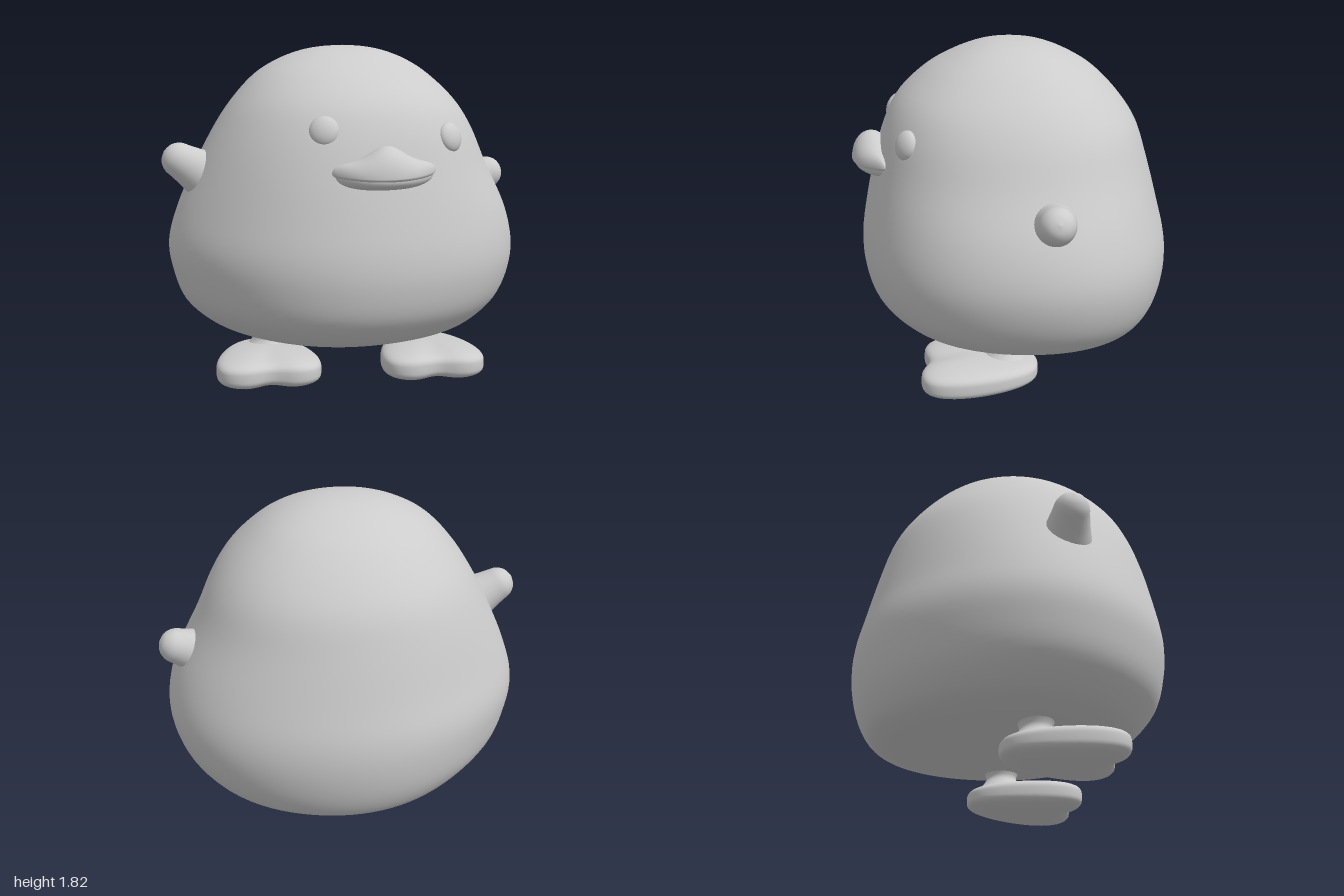
import * as THREE from 'three';

const grey = new THREE.MeshStandardMaterial({ color: 0xcccccc });
grey.name = 'soft grey';

// Closed-ring loft: at(s, t) gives the point at ring fraction s, corner fraction t
function loft(rings, corners, at) {
  const pos = [], index = [];
  for (let i = 0; i <= rings; i++)
    for (let j = 0; j < corners; j++) pos.push(...at(i / rings, j / corners));
  for (let i = 0; i < rings; i++)
    for (let j = 0; j < corners; j++) {
      const k = (j + 1) % corners, a = i * corners + j, b = i * corners + k;
      index.push(a, a + corners, b, b, a + corners, b + corners);
    }
  const g = new THREE.BufferGeometry();
  g.setAttribute('position', new THREE.Float32BufferAttribute(pos, 3));
  g.setIndex(index);
  g.computeVertexNormals();
  return g;
}

function add(parent, name, geometry) {
  const mesh = new THREE.Mesh(geometry, grey);
  mesh.name = name;
  parent.add(mesh);
  return mesh;
}

function lathe(points, segments = 40) {
  const curve = new THREE.SplineCurve(points.map(p => new THREE.Vector2(...p)));
  const profile = curve.getPoints(24);
  profile.forEach(p => { p.x = Math.max(p.x, 0); });
  return new THREE.LatheGeometry(profile, segments);
}

// Body: a slightly skewed oval plan scaled to the extents at each height
function bodyGeometry() {
  // y, then x min, x max, z min, z max
  const rows = [
    [0.25, 0, 0, 0, 0], [0.25, -0.3, 0.3, -0.36, 0.25], [0.258, -0.5, 0.52, -0.6, 0.44],
    [0.285, -0.64, 0.66, -0.71, 0.57], [0.34, -0.765, 0.775, -0.78, 0.67],
    [0.46, -0.89, 0.89, -0.835, 0.775], [0.62, -0.95, 0.955, -0.865, 0.82],
    [0.78, -0.97, 0.965, -0.86, 0.825], [0.97, -0.92, 0.915, -0.815, 0.795],
    [1.2, -0.82, 0.8, -0.755, 0.745], [1.4, -0.715, 0.71, -0.69, 0.685],
    [1.55, -0.615, 0.61, -0.59, 0.605], [1.68, -0.495, 0.475, -0.46, 0.465],
    [1.76, -0.37, 0.355, -0.33, 0.325], [1.81, -0.24, 0.23, -0.21, 0.2],
    [1.833, -0.12, 0.115, -0.105, 0.1], [1.84, 0, 0, 0, 0],
  ];
  const curve = f => new THREE.CatmullRomCurve3(rows.map(f), false, 'catmullrom', 0.5);
  const half = curve(r => new THREE.Vector3((r[2] - r[1]) / 2, r[0], (r[4] - r[3]) / 2));
  const mid = curve(r => new THREE.Vector3((r[2] + r[1]) / 2, r[0], (r[4] + r[3]) / 2));

  return loft(80, 84, (s, t) => {
    const h = half.getPoint(s), m = mid.getPoint(s), a = t * Math.PI * 2;
    const head = THREE.MathUtils.smoothstep(h.y, 0.9, 1.5);
    const diagonal = Math.sin(2 * a) ** 2;
    const skew = -0.025 * Math.sin(2 * a) + 0.03 * Math.cos(a) * diagonal;
    const r = 1 + skew * (1 - 0.5 * head) + 0.025 * head * diagonal;
    return [m.x + h.x * r * Math.cos(a), h.y, m.z + h.z * r * Math.sin(a)];
  });
}

// Bill half: oval sections swept sideways, with given top and bottom offsets
function billGeometry(width, seam, top, bottom, reach) {
  return loft(40, 28, (s, t) => {
    const u = -Math.cos(Math.PI * s), a = t * Math.PI * 2;
    const e = Math.pow(Math.max(0, 1 - u ** 4), 0.5), bow = 1 - u * u;
    const up = Math.sin(a);
    return [
      0.0975 + width * u,
      seam + 0.015 * u * u + e * up * (up > 0 ? top(u) : bottom),
      0.69 + 0.06 * bow - 0.035 * u + e * (0.04 + reach * bow) * Math.cos(a),
    ];
  });
}

// Foot: a plump pad widened at the front and creased into two toes
function footGeometry() {
  const g = new THREE.SphereGeometry(1, 56, 56);
  const p = g.attributes.position;
  for (let i = 0; i < p.count; i++) {
    const x = p.getX(i), v = p.getY(i), w = p.getZ(i);
    const crease = Math.exp(-((x / 0.25) ** 2)) * THREE.MathUtils.smoothstep(w, -0.2, 0.8);
    const y = Math.sign(v) * Math.pow(Math.abs(v), 0.55) * (1 - 0.13 * crease);
    p.setXYZ(i, 0.293 * x * (0.9 + 0.38 * w), 0.105 + y * (0.09 + 0.012 * w),
      0.17 + 0.32 * w * (1 + 0.4 * x * x) - 0.045 * crease);
  }
  g.computeVertexNormals();
  return g;
}

export function createModel() {
  const model = new THREE.Group();
  model.name = 'roundBird';

  add(model, 'body', bodyGeometry());

  // Bill
  const bill = new THREE.Group();
  bill.name = 'bill';
  model.add(bill);
  add(bill, 'upperBill',
    billGeometry(0.2725, 1.2, u => 0.07 + 0.085 * Math.exp(-((u / 0.42) ** 2)), 0.03, 0.07));
  add(bill, 'lowerBill', billGeometry(0.26, 1.185, () => 0.03, 0.05, 0.055));

  // Eyes: flattened balls lying on the face
  const forward = new THREE.Vector3(0, 0, 1);
  for (const [name, at, normal] of [
    ['rightEye', [-0.2, 1.42, 0.64], [-0.25, 0.33, 0.9]],
    ['leftEye', [0.475, 1.37, 0.53], [0.6, 0.28, 0.75]],
  ]) {
    const eye = add(model, name, new THREE.SphereGeometry(1, 28, 20));
    eye.scale.set(0.078, 0.078, 0.045);
    eye.position.set(...at);
    eye.quaternion.setFromUnitVectors(forward, new THREE.Vector3(...normal).normalize());
  }

  // Wings: stubby knobs rooted inside the sides
  const wing = lathe([[0.145, 0], [0.13, 0.06], [0.112, 0.12], [0.098, 0.18],
    [0.085, 0.235], [0.05, 0.275], [0, 0.29]]);
  const up = new THREE.Vector3(0, 1, 0);
  for (const [name, base, tip] of [
    ['rightWing', [-0.74, 1.13, 0.13], [-0.985, 1.28, 0.12]],
    ['leftWing', [0.72, 1.02, -0.2], [0.985, 1.115, -0.225]],
  ]) {
    const mesh = add(model, name, wing);
    mesh.position.set(...base);
    const dir = new THREE.Vector3(...tip).sub(mesh.position).normalize();
    mesh.quaternion.setFromUnitVectors(up, dir);
  }

  // Legs and feet
  const leg = lathe([[0.13, 0.16], [0.095, 0.2], [0.085, 0.225], [0.092, 0.25], [0.11, 0.28]]);
  const foot = footGeometry();
  for (const [side, s] of [['left', 1], ['right', -1]]) {
    add(model, side + 'Leg', leg).position.set(0.43 * s, 0, 0.04);
    add(model, side + 'Foot', foot).position.x = 0.455 * s;
  }

  return model;
}
